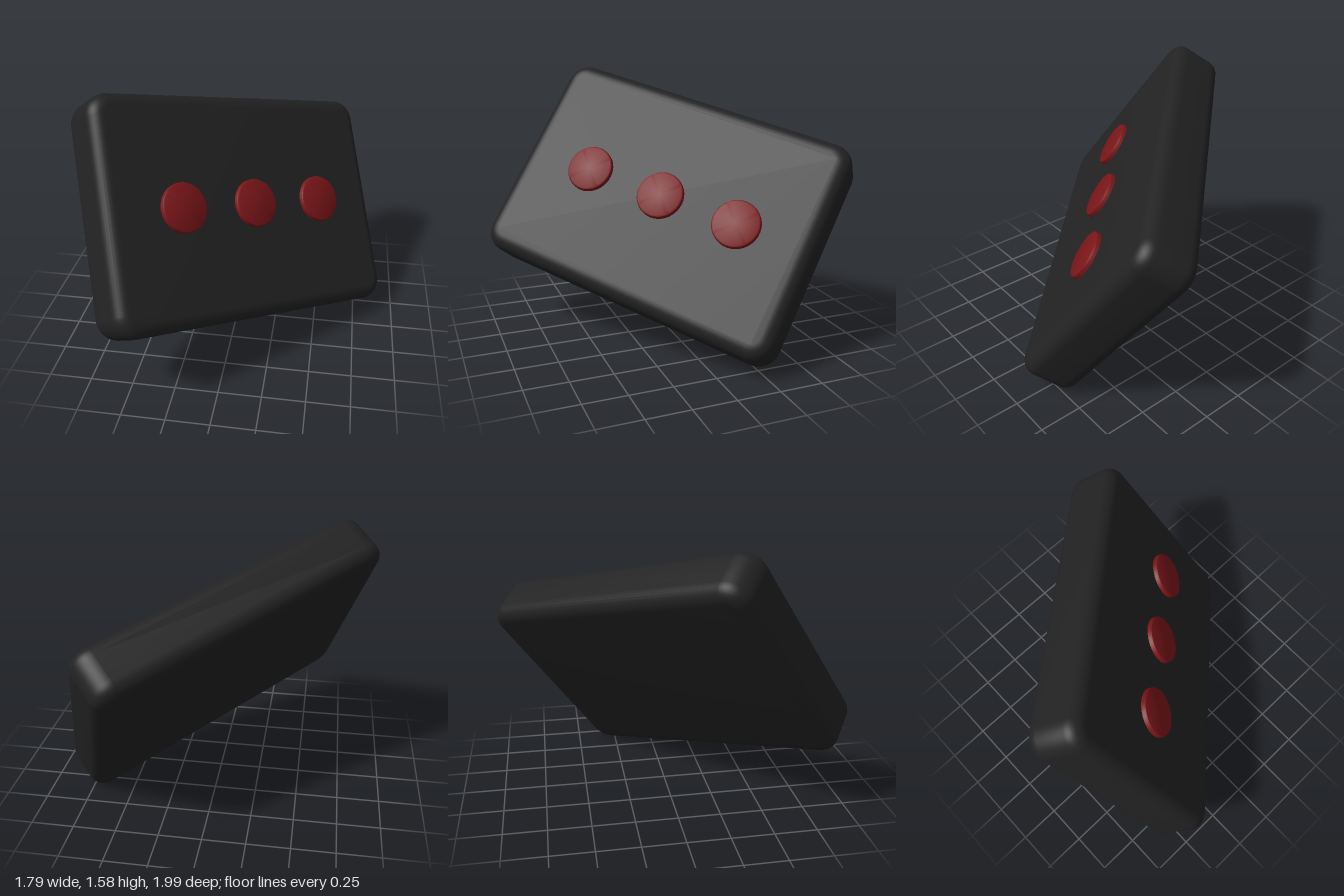
import * as THREE from 'three';
import { toCreasedNormals } from 'three/addons/utils/BufferGeometryUtils.js';

const HALF_W = 0.957, HALF_H = 0.662, HALF_D = 0.165; // slab half sizes
const BEVEL = 0.08, CORNER = 0.05;

// Rounded rectangle centred on the origin
function roundedRect(a, b, r) {
  const s = new THREE.Shape();
  s.absarc(a - r, b - r, r, 0, Math.PI / 2);
  s.absarc(r - a, b - r, r, Math.PI / 2, Math.PI);
  s.absarc(r - a, r - b, r, Math.PI, Math.PI * 1.5);
  s.absarc(a - r, r - b, r, Math.PI * 1.5, Math.PI * 2);
  s.closePath();
  return s;
}

export function createModel() {
  const model = new THREE.Group();
  const dark = new THREE.MeshStandardMaterial({ color: 0x222222 });
  const red = new THREE.MeshStandardMaterial({ color: 0x7a1518 });

  // Slab with soft edges
  const depth = 2 * (HALF_D - BEVEL);
  const slab = new THREE.ExtrudeGeometry(
    roundedRect(HALF_W - BEVEL, HALF_H - BEVEL, CORNER),
    { depth, bevelSize: BEVEL, bevelThickness: BEVEL, bevelSegments: 8, curveSegments: 8 });
  slab.translate(0, 0, -depth / 2);
  const body = new THREE.Mesh(toCreasedNormals(slab, 0.6), dark);
  body.name = 'body';

  const tilted = new THREE.Group();
  tilted.name = 'tiltedBox';
  tilted.add(body);

  // Row of three round buttons on the front face
  const profile = [[0, -0.03], [0.142, -0.03], [0.142, 0.018], [0.138, 0.026], [0.13, 0.03], [0, 0.03]]
    .map(([x, y]) => new THREE.Vector2(x, y));
  const buttonGeo = toCreasedNormals(new THREE.LatheGeometry(profile, 40), 0.6);
  buttonGeo.rotateX(Math.PI / 2);
  for (let i = -1; i <= 1; i++) {
    const button = new THREE.Mesh(buttonGeo, red);
    button.name = 'button' + (i + 2);
    button.position.set(0.01 + i * 0.491, 0, HALF_D);
    tilted.add(button);
  }

  // Tilt the whole box in space
  const u = new THREE.Vector3(0.723, -0.234, -0.65).normalize();
  const v = new THREE.Vector3(-0.225, 0.803, -0.552);
  const n = u.clone().cross(v).normalize();
  v.crossVectors(n, u);
  tilted.quaternion.setFromRotationMatrix(new THREE.Matrix4().makeBasis(u, v, n));
  tilted.position.y = 0.79;
  model.add(tilted);
  return model;
}
